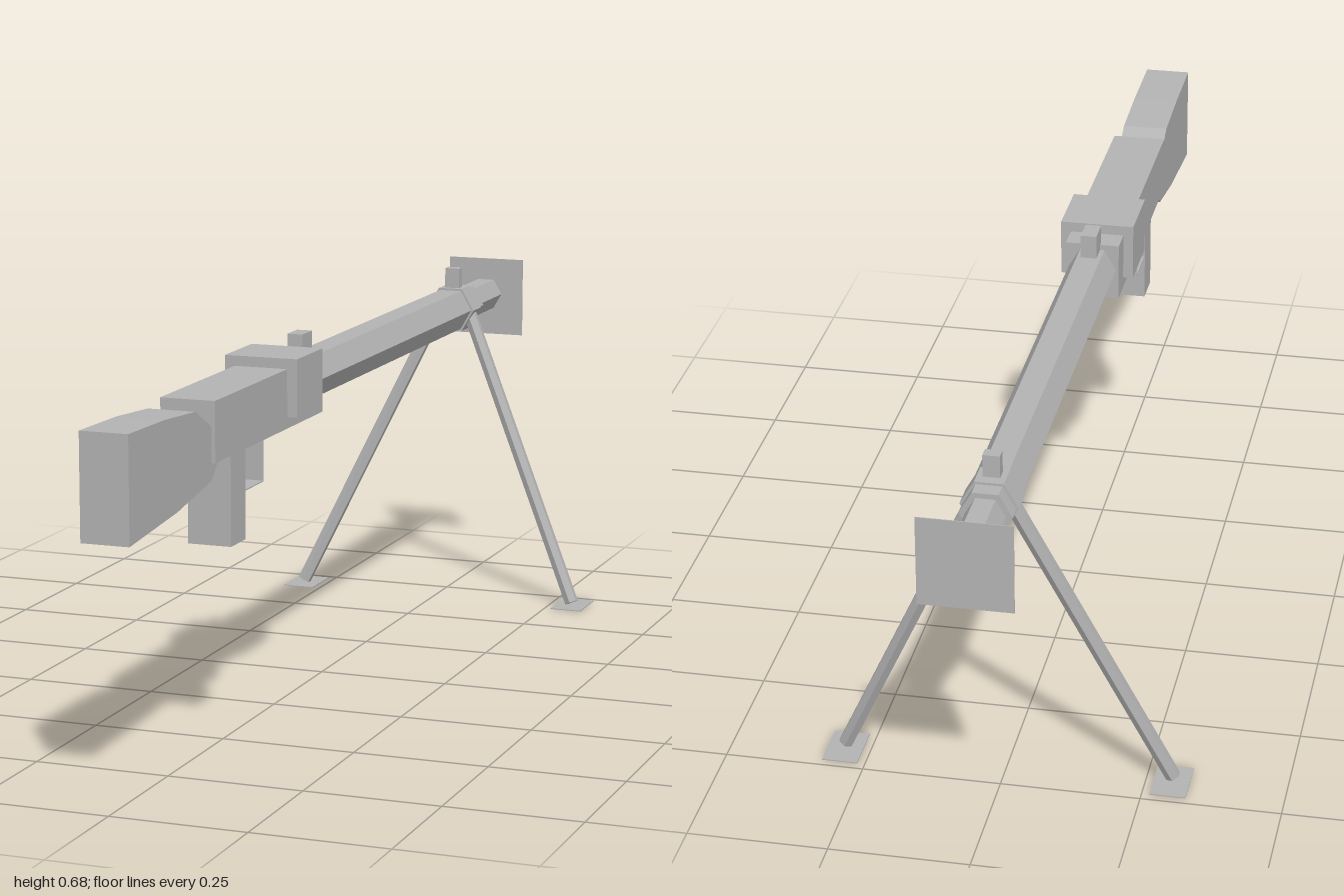
import * as THREE from 'three';

export function createModel() {
  const group = new THREE.Group();
  const grey = new THREE.MeshStandardMaterial({ color: 0xb3b3b3 });

  // Adds a mesh with faceted normals
  function add(name, geometry) {
    const flat = geometry.index ? geometry.toNonIndexed() : geometry;
    flat.computeVertexNormals();
    const mesh = new THREE.Mesh(flat, grey);
    mesh.name = name;
    group.add(mesh);
    return mesh;
  }

  // Box given by its extents on each axis
  function box(name, [x0, x1], [y0, y1], [z0, z1]) {
    const mesh = add(name, new THREE.BoxGeometry(x1 - x0, y1 - y0, z1 - z0));
    mesh.position.set((x0 + x1) / 2, (y0 + y1) / 2, (z0 + z1) / 2);
    return mesh;
  }

  // Hexagonal bar along z with a flat top
  function hexBar(name, radius, z0, z1) {
    const geo = new THREE.CylinderGeometry(radius, radius, z1 - z0, 6, 1, false, Math.PI / 6);
    geo.rotateX(Math.PI / 2);
    add(name, geo).position.set(0, 0.595, (z0 + z1) / 2);
  }

  // Stock: side profile (z, y) extruded across x
  const profile = [
    [1, 0.462], [1, 0.65], [0.85, 0.647], [0.72, 0.638], [0.64, 0.595],
    [0.62, 0.59], [0.62, 0.535], [0.65, 0.505], [0.8, 0.48],
  ];
  const shape = new THREE.Shape(profile.map(([z, y]) => new THREE.Vector2(-z, y)));
  const stock = new THREE.ExtrudeGeometry(shape, { depth: 0.088, bevelEnabled: false });
  stock.translate(0, 0, -0.044);
  stock.rotateY(Math.PI / 2);
  add('stock', stock);

  // Body
  box('receiver', [-0.051, 0.051], [0.536, 0.645], [0.13, 0.65]);
  box('feedCover', [-0.07, 0.07], [0.557, 0.664], [0.18, 0.31]);
  box('grip', [-0.041, 0.041], [0.368, 0.54], [0.488, 0.556]);
  box('guardBottom', [-0.04, 0.04], [0.455, 0.457], [0.4, 0.488]);
  box('guardFront', [-0.04, 0.04], [0.455, 0.537], [0.4, 0.402]);
  box('rearSight', [-0.015, 0.015], [0.63, 0.68], [0.09, 0.14]);

  // Barrel assembly
  hexBar('barrel', 0.046, -0.84, 0.14);
  hexBar('collar', 0.051, -0.81, -0.758);
  hexBar('muzzle', 0.035, -1, -0.83);
  box('muzzlePlate', [-0.082, 0.082], [0.508, 0.671], [-1, -0.998]);
  box('frontSight', [-0.015, 0.015], [0.625, 0.68], [-0.79, -0.768]);

  // Folding legs and their foot plates
  for (const side of [-1, 1]) {
    const top = new THREE.Vector3(side * 0.033, 0.59, -0.783);
    const foot = new THREE.Vector3(side * 0.297, 0.008, -0.68);
    const dir = foot.clone().sub(top);
    const leg = add('leg', new THREE.CylinderGeometry(0.014, 0.014, dir.length(), 6));
    leg.position.copy(top).add(foot).multiplyScalar(0.5);
    leg.quaternion.setFromUnitVectors(new THREE.Vector3(0, -1, 0), dir.normalize());
    const x = side * 0.296;
    box('footPlate', [x - 0.032, x + 0.032], [0, 0.002], [-0.735, -0.64]);
  }

  return group;
}
